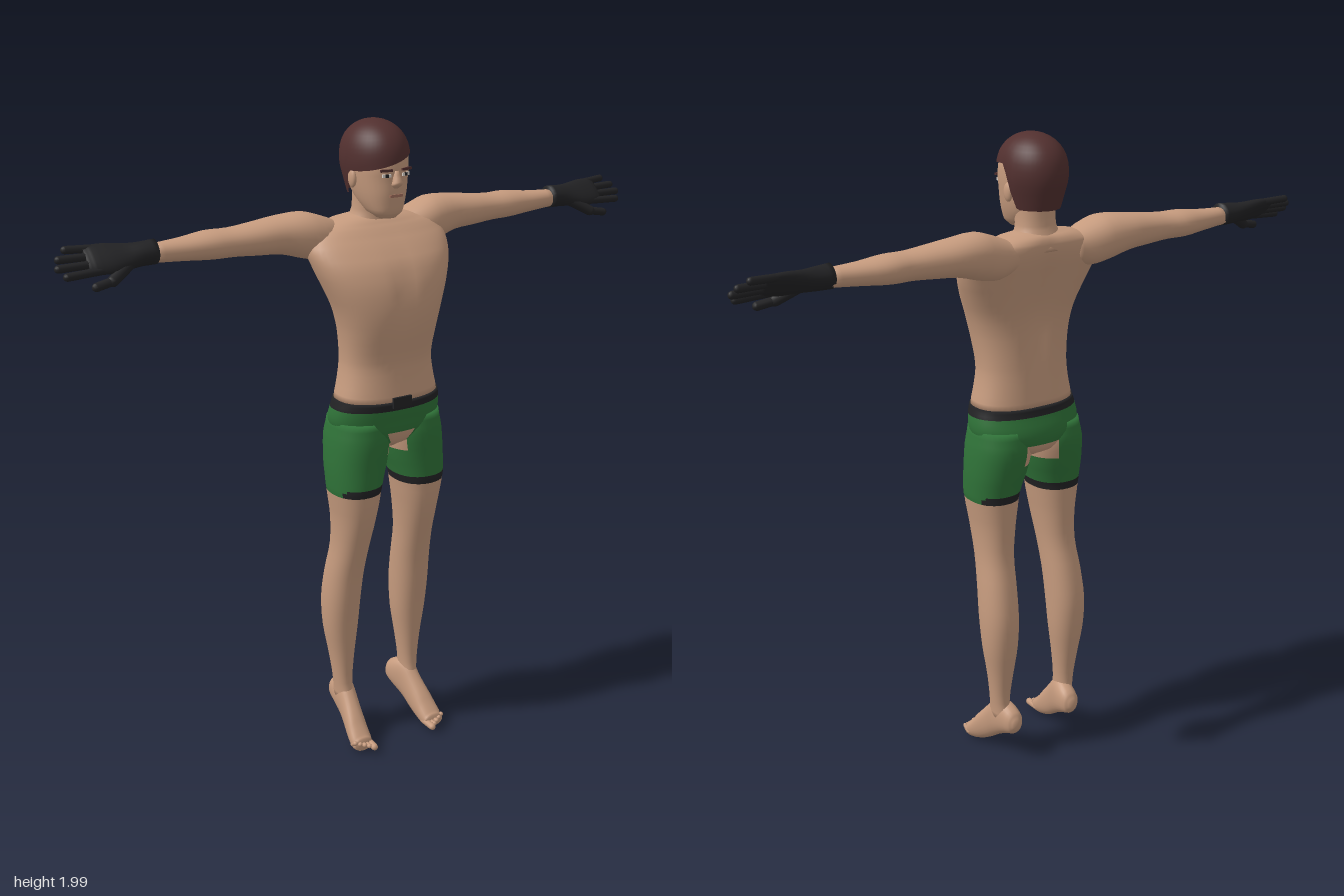
import * as THREE from 'three';
import { mergeGeometries } from 'three/addons/utils/BufferGeometryUtils.js';

const std = (name, color, side = THREE.FrontSide) => {
  const m = new THREE.MeshStandardMaterial({ color, side });
  m.name = name;
  return m;
};

// Catmull-Rom between table rows
function refine(rows, sub) {
  const out = [];
  for (let i = 0; i < rows.length - 1; i++) {
    const p = [rows[Math.max(i - 1, 0)], rows[i], rows[i + 1], rows[Math.min(i + 2, rows.length - 1)]];
    for (let k = 0; k < sub; k++) {
      const t = k / sub;
      out.push(p[1].map((b, c) => {
        if (c === 0) return b + (p[2][0] - b) * t;
        const a = p[0][c], d = p[2][c], e = p[3][c];
        return b + 0.5 * t * (d - a + t * (2 * a - 5 * b + 4 * d - e + t * (3 * (b - d) + e - a)));
      }));
    }
  }
  out.push(rows[rows.length - 1]);
  return out;
}

// Closed skin over rounded sections. Row: [position on axis, a min, a max, b min, b max]
function loft(axis, rows, { n = 28, sub = 3, pow = 0.9, deform = null, paint = null } = {}) {
  const sections = refine(rows, sub), pts = [];
  const place = { x: (s, a, b) => [s, a, b], y: (s, a, b) => [a, s, b], z: (s, a, b) => [a, b, s] }[axis];
  const soft = (v) => Math.sign(v) * Math.abs(v) ** pow;
  const add = (s, a, b) => {
    const p = new THREE.Vector3(...place(s, a, b));
    if (deform) deform(p);
    pts.push(p);
  };
  for (const [s, a0, a1, b0, b1] of sections) {
    for (let j = 0; j < n; j++) {
      const t = (j / n) * Math.PI * 2;
      add(s, (a0 + a1) / 2 + soft(Math.cos(t)) * (a1 - a0) / 2, (b0 + b1) / 2 + soft(Math.sin(t)) * (b1 - b0) / 2);
    }
  }
  const last = sections.length - 1;
  for (const [s, a0, a1, b0, b1] of [sections[0], sections[last]]) add(s, (a0 + a1) / 2, (b0 + b1) / 2);
  const flip = (axis === 'y') !== (sections[last][0] < sections[0][0]);
  const buckets = [];
  const tri = (m, a, b, c) => (buckets[m] ??= []).push(...(flip ? [a, c, b] : [a, b, c]));
  const mid = new THREE.Vector3();
  const which = (...ids) => {
    mid.set(0, 0, 0);
    ids.forEach((i) => mid.addScaledVector(pts[i], 1 / ids.length));
    return paint ? paint(mid) : 0;
  };
  for (let j = 0; j < n; j++) {
    const k = (j + 1) % n, e = last * n, c0 = pts.length - 2, c1 = pts.length - 1;
    for (let i = 0; i < last; i++) {
      const a = i * n + j, b = i * n + k, m = which(a, b, a + n, b + n);
      tri(m, a, b, a + n);
      tri(m, b, b + n, a + n);
    }
    tri(which(c0, j, k), c0, k, j);
    tri(which(c1, e + j, e + k), c1, e + j, e + k);
  }
  const g = new THREE.BufferGeometry().setFromPoints(pts);
  g.setIndex(buckets.flat());
  let start = 0;
  if (paint) buckets.forEach((list, m) => { g.addGroup(start, list.length, m); start += list.length; });
  g.computeVertexNormals();
  return g;
}

// Rounded finger between two points
function digit(from, to, r) {
  const a = new THREE.Vector3(...from), b = new THREE.Vector3(...to), d = b.clone().sub(a);
  const g = new THREE.CapsuleGeometry(r, d.length(), 4, 10);
  g.deleteAttribute('uv');
  g.applyQuaternion(new THREE.Quaternion().setFromUnitVectors(new THREE.Vector3(0, 1, 0), d.clone().normalize()));
  return g.translate(...a.add(b).multiplyScalar(0.5).toArray());
}

function mirrored(geo) {
  const g = geo.clone().scale(-1, 1, 1), ix = g.index.array;
  for (let i = 0; i < ix.length; i += 3) [ix[i + 1], ix[i + 2]] = [ix[i + 2], ix[i + 1]];
  return g;
}

export function createModel() {
  const model = new THREE.Group();
  model.name = 'figure';
  const skin = std('skin', 0xc69b7e), hairMat = std('hair', 0x52302f, THREE.DoubleSide);
  const green = std('green cloth', 0x2f7238), black = std('black cloth', 0x222224);
  const white = std('eye white', 0xd8d0c8), lip = std('lip', 0xa06f5c);
  const add = (name, geo, mat) => {
    const m = new THREE.Mesh(geo, mat);
    m.name = name;
    model.add(m);
    return m;
  };
  const pair = (name, geo, mat) => { add(name + 'Left', geo, mat); add(name + 'Right', mirrored(geo), mat); };
  const sym = (rows) => rows.map(([y, w, b, f]) => [y, -w, w, b, f]);
  const bell = (v, c, w) => Math.exp(-(((v - c) / w) ** 2));

  // Torso, with spine and breastbone grooves
  add('torso', loft('y', sym([
    [1.18, .167, -.082, .13], [1.25, .153, -.078, .124], [1.31, .147, -.075, .123], [1.4, .157, -.075, .142],
    [1.47, .175, -.082, .148], [1.54, .203, -.1, .138], [1.6, .225, -.118, .112], [1.65, .232, -.132, .07],
    [1.69, .2, -.135, .03], [1.712, .13, -.125, .005], [1.725, .06, -.1, -.015],
  ]), {
    n: 48, pow: 0.85,
    deform: (p) => {
      if (p.z < -0.03) p.z += 0.022 * bell(p.x, 0, 0.035) * bell(p.y, 1.5, 0.2);
      else if (p.z > 0.03) p.z -= 0.008 * bell(p.x, 0, 0.025) * bell(p.y, 1.53, 0.09);
    },
  }), skin);
  add('neck', loft('y', sym([
    [1.67, .1, -.13, .01], [1.71, .072, -.115, .005], [1.74, .06, -.104, .004], [1.81, .06, -.1, .01],
  ])), skin);

  // Shorts: waistband, cloth and bare patches
  const bare = (p) => Math.abs(p.x) < (p.z > 0 ? 0.036 : 0.06) && p.y > 1.0 && p.y < (p.z > 0 ? 1.085 : 1.075);
  add('shortsHips', loft('y', sym([
    [1.02, .035, -.04, .06], [1.045, .09, -.088, .1], [1.085, .165, -.104, .119], [1.12, .182, -.102, .125],
    [1.16, .179, -.09, .131], [1.187, .172, -.086, .134],
  ]), { n: 48, paint: (p) => (bare(p) ? 2 : p.y > 1.16 ? 1 : 0) }), [green, black, skin]);
  add('waistTab', new THREE.BoxGeometry(.065, .032, .008).translate(-.01, 1.186, .134), black);

  // Legs, with the shorts' legs and hems
  pair('leg', loft('y', [
    [1.12, .01, .178, -.09, .112], [1.06, 0, .189, -.101, .12], [.98, .012, .195, -.088, .117],
    [.915, .03, .194, -.073, .116], [.89, .036, .191, -.07, .114], [.8, .05, .178, -.065, .1],
    [.7, .062, .174, -.066, .072], [.6, .067, .182, -.088, .046], [.5, .07, .187, -.104, .03],
    [.4, .075, .182, -.1, .016], [.3, .088, .166, -.085, .006], [.2, .098, .154, -.072, .002],
    [.14, .095, .15, -.08, .012],
  ], { n: 36, paint: (p) => (p.y < .89 ? 2 : p.y < .915 ? (Math.abs(p.x) > .18 ? 0 : 1)
    : bare(p) && Math.abs(p.z) < .11 ? 2 : 0) }), [green, black, skin]);

  // Feet pointing slightly down, with toes
  const foot = [loft('z', [
    [-.115, .1, .125, .12, .15], [-.1, .083, .14, .1, .175], [-.065, .08, .148, .085, .195],
    [-.02, .088, .152, .06, .2], [.02, .093, .158, .032, .157], [.06, .097, .167, .012, .112],
    [.095, .1, .172, .006, .07], [.115, .105, .168, .012, .052],
  ])];
  for (let i = 0; i < 5; i++) {
    const x = .111 + i * .0135;
    foot.push(digit([x, .03, .09], [x + .002, .028 + .004 * i, .138 - .007 * i], i ? .0075 : .0115));
  }
  pair('foot', mergeGeometries(foot), skin);

  // Arms held out sideways
  pair('arm', loft('x', [
    [.1, 1.62, 1.705, -.125, -.03], [.16, 1.6, 1.727, -.14, -.002], [.22, 1.608, 1.745, -.15, 0],
    [.3, 1.63, 1.74, -.152, -.014], [.37, 1.636, 1.732, -.144, -.02], [.45, 1.642, 1.724, -.138, -.028],
    [.52, 1.643, 1.724, -.143, -.03], [.6, 1.65, 1.715, -.128, -.04], [.7, 1.657, 1.71, -.11, -.05],
  ]), skin);

  // Gloves: cuff and palm, four fingers, thumb
  const glove = [loft('x', [
    [.685, -.033, .035, -.034, .034], [.73, -.031, .031, -.033, .035], [.77, -.025, .025, -.037, .042],
    [.82, -.02, .021, -.046, .05], [.865, -.016, .016, -.048, .045], [.885, -.01, .01, -.042, .038],
  ], { n: 20 })];
  [.93, .957, .966, .95].forEach((tip, i) =>
    glove.push(digit([.85, 0, -.036 + i * .024], [tip, -.004, -.045 + i * .028], .0115)));
  glove.push(digit([.77, -.002, .028], [.83, -.008, .068], .016), digit([.83, -.008, .068], [.88, -.01, .078], .0125));
  pair('glove', mergeGeometries(glove).rotateX(Math.PI / 4).translate(0, 1.687, -.08), black);

  // Head and face
  add('head', loft('y', sym([
    [1.724, .028, -.005, .058], [1.74, .048, -.04, .072], [1.77, .062, -.085, .078], [1.8, .07, -.11, .082],
    [1.84, .076, -.125, .083], [1.875, .078, -.13, .086], [1.92, .075, -.13, .077], [1.96, .052, -.09, .04],
  ]), { pow: 0.85 }), skin);
  add('nose', loft('y', sym([
    [1.815, .008, .07, .086], [1.825, .016, .07, .099], [1.835, .014, .07, .102], [1.865, .008, .07, .088],
  ]), { n: 14 }), skin);
  pair('ear', new THREE.SphereGeometry(1, 14, 10).scale(.01, .028, .018).translate(.08, 1.835, -.028), skin);
  const plate = (w, h, x, y, z) => new THREE.BoxGeometry(w, h, .008).rotateY(.2).translate(x, y, z);
  pair('eye', plate(.026, .009, .032, 1.853, .08), white);
  pair('pupil', plate(.009, .009, .032, 1.853, .081), black);
  pair('eyebrow', plate(.036, .007, .034, 1.868, .082), hairMat);
  add('mouth', new THREE.BoxGeometry(.042, .008, .008).translate(0, 1.793, .08), lip);

  // Hair: swept cap with an uneven hairline, low at the nape
  const N = 48, M = 14, pts = [], idx = [];
  for (let i = 0; i <= M; i++) {
    for (let j = 0; j < N; j++) {
      const t = (j / N) * Math.PI * 2, c = Math.cos(t), s = Math.sin(t);
      const front = THREE.MathUtils.smoothstep(s, -.3, .1);
      const base = THREE.MathUtils.lerp(1.787, 1.888 + .028 * c, front);
      const y = base + (2 - base) * Math.sin((i / M) * Math.PI / 2);
      const r = y > 1.89 ? Math.max(0, 1 - ((y - 1.89) / .11) ** 2.3) ** .5 : 1 - Math.max(0, 1.87 - y) * 2.6;
      pts.push(new THREE.Vector3(-.003 + .095 * r * c, y, -.03 + .122 * r * s));
      const a = i * N + j, b = i * N + (j + 1) % N;
      if (i < M) idx.push(a, a + N, b, b, a + N, b + N);
    }
  }
  const hair = new THREE.BufferGeometry().setFromPoints(pts);
  hair.setIndex(idx);
  hair.computeVertexNormals();
  add('hair', hair, hairMat);
  return model;
}
